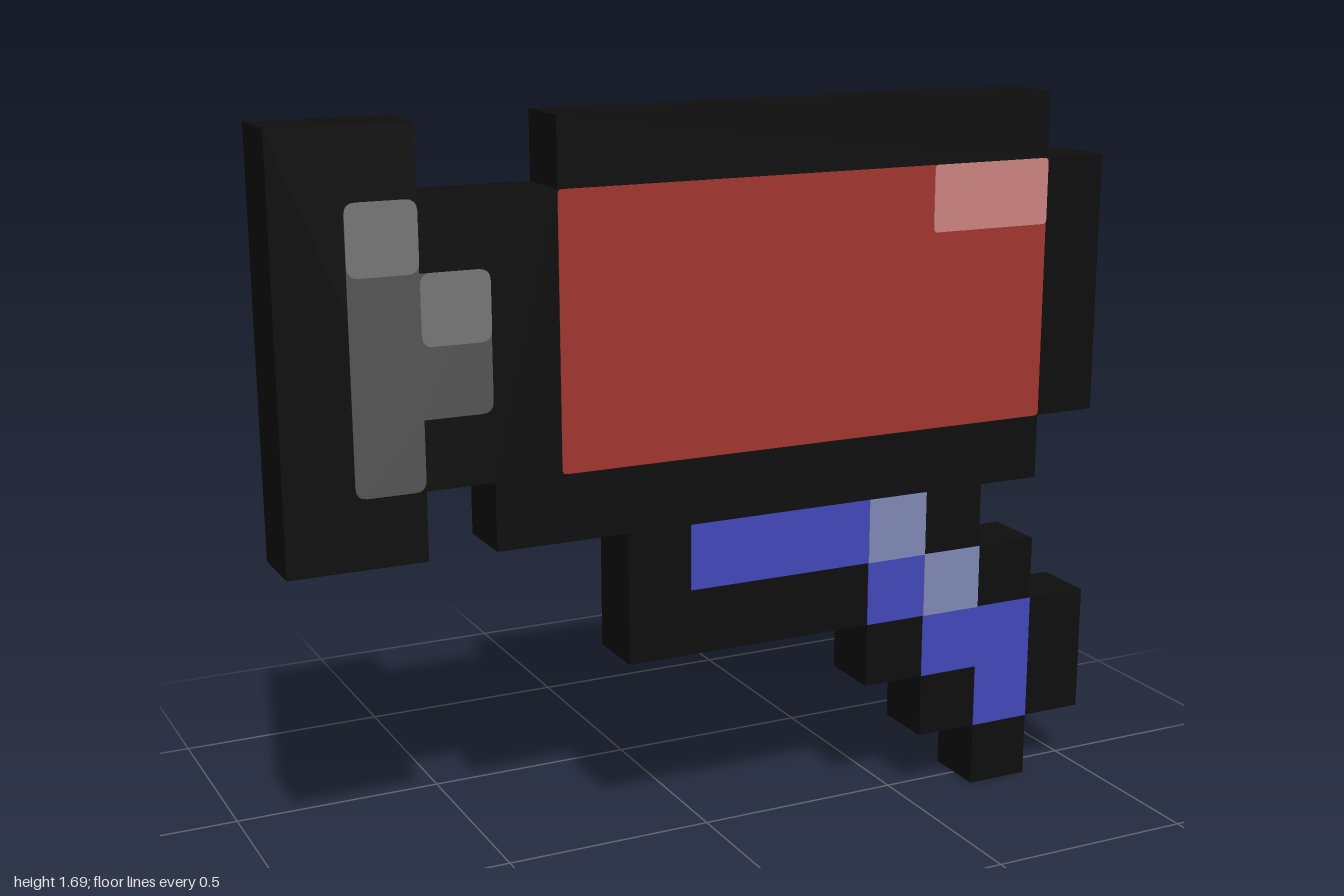
import * as THREE from 'three';

const CELL = 2 / 13; // one pixel of the sprite
const DEPTH = CELL;

const mat = (name, color) => Object.assign(new THREE.MeshStandardMaterial({ color }), { name });

// Shape from pixel-grid corners (counter-clockwise); corners with a true third value are rounded
function gridShape(corners, radius = 0) {
  const pts = corners.map(([c, r]) => new THREE.Vector2(c * CELL - 1, r * CELL));
  const shape = new THREE.Shape();
  pts.forEach((p, i) => {
    const prev = pts[(i + pts.length - 1) % pts.length];
    const next = pts[(i + 1) % pts.length];
    const go = (q) => (i === 0 && shape.curves.length === 0 && !shape.started
      ? ((shape.started = true), shape.moveTo(q.x, q.y)) : shape.lineTo(q.x, q.y));
    if (radius && corners[i][2]) {
      const a = p.clone().add(prev.clone().sub(p).setLength(radius));
      const b = p.clone().add(next.clone().sub(p).setLength(radius));
      go(a);
      shape.quadraticCurveTo(p.x, p.y, b.x, b.y);
    } else go(p);
  });
  shape.closePath();
  return shape;
}

const rect = (c0, r0, c1, r1) => [[c0, r0, 1], [c1, r0, 1], [c1, r1, 1], [c0, r1, 1]];

export function createModel() {
  const model = new THREE.Group();
  model.name = 'pixelTool';

  const black = mat('outlineBlack', 0x0e0e0e);
  const red = mat('red', 0xa23630);
  const pink = mat('redHighlight', 0xcf8581);
  const blue = mat('blue', 0x4348bc);
  const paleBlue = mat('blueHighlight', 0x8089b6);
  const grey = mat('darkGrey', 0x555555);
  const lightGrey = mat('lightGrey', 0x777777);

  // Black slab with the stepped silhouette
  const outline = [
    [11, 0], [12, 0], [12, 1], [13, 1], [13, 3], [12, 3], [12, 4], [11, 4],
    [11, 5], [12, 5], [12, 6], [13, 6], [13, 10], [12, 10], [12, 11], [4, 11],
    [4, 10], [2, 10], [2, 11], [0, 11], [0, 5], [2, 5], [2, 6], [3, 6],
    [3, 5], [5, 5], [5, 3], [9, 3], [9, 2], [10, 2], [10, 1], [11, 1],
  ];
  const slab = new THREE.Mesh(
    new THREE.ExtrudeGeometry(gridShape(outline), { depth: DEPTH, bevelEnabled: false }), black);
  slab.name = 'bodySlab';
  slab.position.z = -DEPTH / 2;
  model.add(slab);

  // Thin colour plates, repeated on the front and the back
  function addPlates(name, corners, material, radius = 0, height = 0.002) {
    const geo = new THREE.ExtrudeGeometry(gridShape(corners, radius),
      { depth: height, bevelEnabled: false, curveSegments: 4 });
    for (const [side, z] of [['Front', DEPTH / 2], ['Back', -DEPTH / 2 - height]]) {
      const plate = new THREE.Mesh(geo, material);
      plate.name = name + side;
      plate.position.z = z;
      model.add(plate);
    }
  }
  const TOP = 0.004; // highlights sit just above their base plate

  // Red barrel panel
  addPlates('barrelPanel', rect(4, 6, 12, 10), red, 0.01);
  addPlates('barrelHighlight', rect(10, 9, 12, 10), pink, 0.01, TOP);

  // Grey end cap and its stub
  addPlates('capPanel', [
    [1, 6, 1], [2, 6, 1], [2, 7], [3, 7, 1], [3, 9, 1], [2, 9], [2, 10, 1], [1, 10, 1],
  ], grey, 0.025);
  addPlates('capHighlight', rect(1, 9, 2, 10), lightGrey, 0.025, TOP);
  addPlates('stubHighlight', rect(2, 8, 3, 9), lightGrey, 0.025, TOP);

  // Blue stepped handle
  addPlates('handlePanel', [
    [6, 4], [9, 4], [9, 3], [10, 3], [10, 2], [11, 2], [11, 1], [12, 1],
    [12, 3], [11, 3], [11, 4], [10, 4], [10, 5], [6, 5],
  ], blue);
  addPlates('handleHighlightUpper', rect(9, 4, 10, 5), paleBlue, 0, TOP);
  addPlates('handleHighlightLower', rect(10, 3, 11, 4), paleBlue, 0, TOP);

  return model;
}
